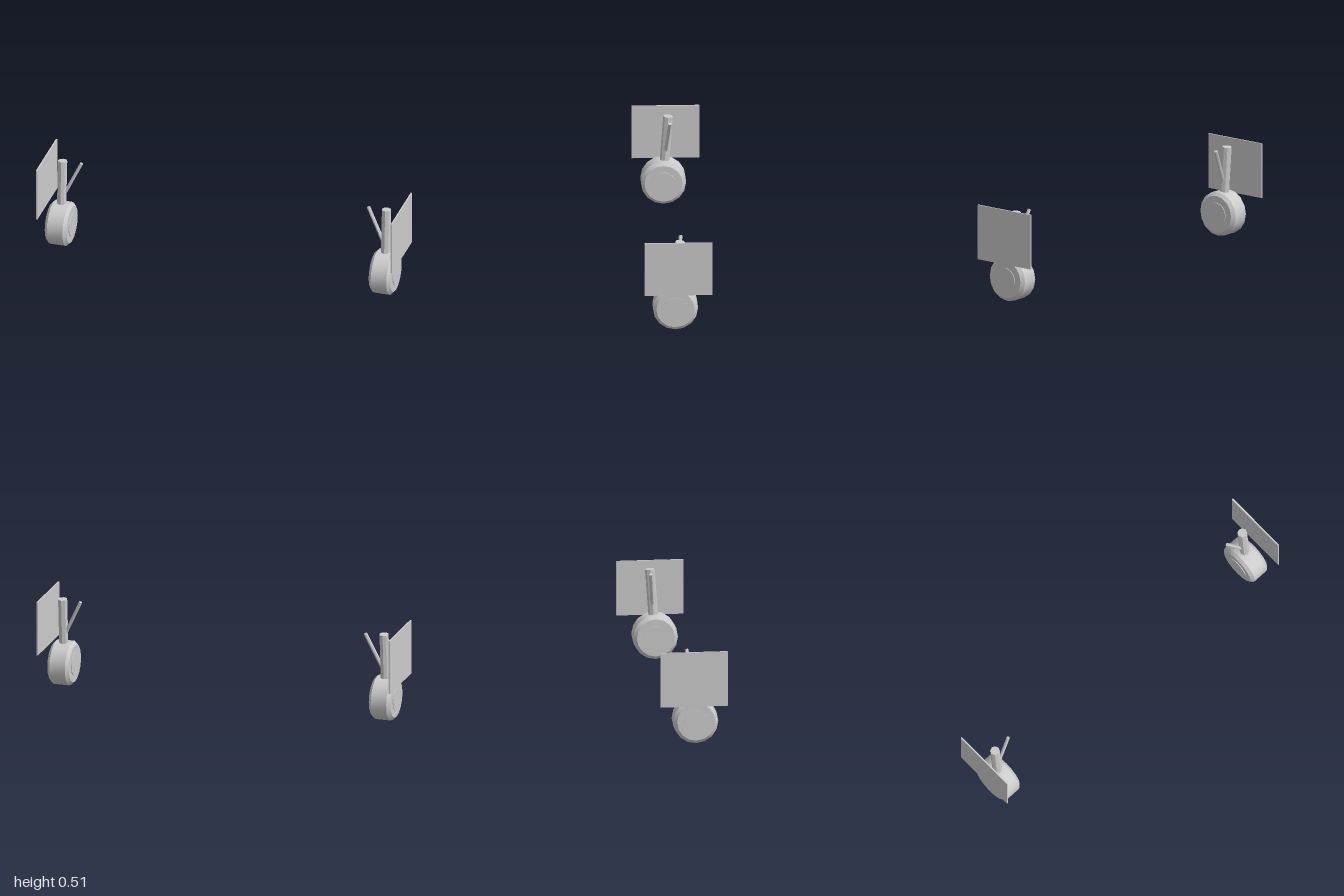
import * as THREE from 'three';
import { toCreasedNormals } from 'three/addons/utils/BufferGeometryUtils.js';

const UP = new THREE.Vector3(0, 1, 0);

// Faceted rod running from one point to another
function rod(name, from, to, radius, sides, material) {
  const dir = to.clone().sub(from);
  const geometry = new THREE.CylinderGeometry(radius, radius, dir.length(), sides);
  const mesh = new THREE.Mesh(toCreasedNormals(geometry, 0.5), material);
  mesh.name = name;
  mesh.position.copy(from).add(to).multiplyScalar(0.5);
  mesh.quaternion.setFromUnitVectors(UP, dir.normalize());
  return mesh;
}

// Tyre with bevelled shoulders and a slightly raised hub, axle along x
function wheel(material) {
  const group = new THREE.Group();
  group.name = 'wheel';
  const profile = [[0.05, -0.061], [0.103, -0.061], [0.121, -0.044], [0.121, 0.044], [0.103, 0.061], [0.05, 0.061]]
    .map(([r, y]) => new THREE.Vector2(r, y));
  const tyre = new THREE.Mesh(toCreasedNormals(new THREE.LatheGeometry(profile, 16), 0.5), material);
  tyre.name = 'tyre';
  const hub = new THREE.Mesh(new THREE.CylinderGeometry(0.066, 0.066, 0.13, 12), material);
  hub.name = 'hub';
  group.add(tyre, hub);
  group.rotation.z = Math.PI / 2;
  return group;
}

export function createModel() {
  const model = new THREE.Group();
  model.name = 'landingGear';
  const grey = new THREE.MeshStandardMaterial({ color: 0xcccccc });
  grey.name = 'light grey';

  for (const s of [1, -1]) {
    const leg = new THREE.Group();
    leg.name = s > 0 ? 'leftGear' : 'rightGear';
    const at = (x, y, z) => new THREE.Vector3(s * x, y, z);

    const w = wheel(grey);
    w.position.copy(at(0.909, 0.122, 0.015));

    // Main leg leans slightly back, side brace leans inward
    const strut = rod('strut', at(0.909, 0.13, 0.015), at(0.909, 0.489, -0.011), 0.026, 8, grey);
    const brace = rod('sideBrace', at(0.909, 0.265, 0.004), at(0.805, 0.485, -0.018), 0.01, 6, grey);

    // Thin door outside the wheel
    const door = new THREE.Mesh(new THREE.BoxGeometry(0.008, 0.301, 0.363), grey);
    door.name = 'gearDoor';
    door.position.copy(at(0.996, 0.3655, 0));

    leg.add(w, strut, brace, door);
    model.add(leg);
  }
  return model;
}
